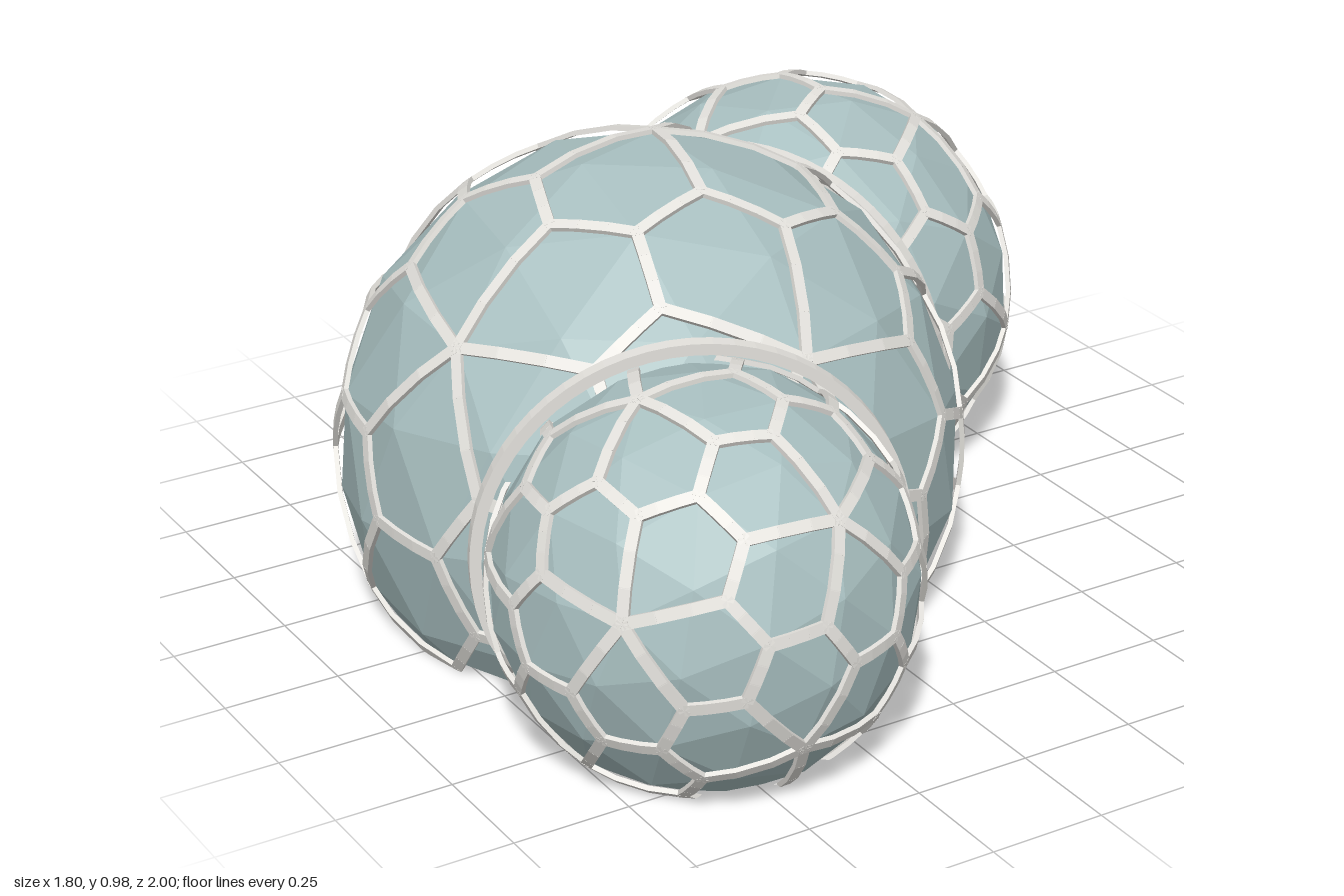
import * as THREE from 'three';
import { mergeGeometries } from 'three/addons/utils/BufferGeometryUtils.js';

const V = (x, y, z) => new THREE.Vector3(x, y, z);
const shellMat = new THREE.MeshStandardMaterial({ color: 0xa8bfc0, flatShading: true, side: THREE.DoubleSide });
const strutMat = new THREE.MeshStandardMaterial({ color: 0xe4e2dd, flatShading: true, side: THREE.DoubleSide });
const ground = new THREE.Plane(V(0, 1, 0), 0);

// Cut a geometry along planes, and drop whole triangles lying behind any of the drop planes
function clip(geometry, planes, drop = []) {
  const pos = (geometry.index ? geometry.toNonIndexed() : geometry).attributes.position;
  const out = [];
  for (let i = 0; i < pos.count; i += 3) {
    let poly = [0, 1, 2].map(k => new THREE.Vector3().fromBufferAttribute(pos, i + k));
    if (drop.some(plane => poly.every(p => plane.distanceToPoint(p) < 0))) continue;
    for (const plane of planes) {
      const next = [];
      poly.forEach((p, k) => {
        const q = poly[(k + 1) % poly.length];
        const dp = plane.distanceToPoint(p), dq = plane.distanceToPoint(q);
        if (dp >= 0) next.push(p);
        if ((dp >= 0) !== (dq >= 0)) next.push(p.clone().lerp(q, dp / (dp - dq)));
      });
      poly = next;
    }
    for (let k = 1; k + 1 < poly.length; k++)
      for (const p of [poly[0], poly[k], poly[k + 1]]) out.push(p.x, p.y, p.z);
  }
  const g = new THREE.BufferGeometry();
  g.setAttribute('position', new THREE.Float32BufferAttribute(out, 3));
  g.computeVertexNormals();
  return g;
}

// Rotation frame: first axis along a, second towards b
function frame(a, b) {
  const x = a.clone().normalize();
  const z = x.clone().cross(b).normalize();
  return new THREE.Matrix4().makeBasis(x, z.clone().cross(x), z);
}

// Flat bar following the sphere between two unit directions
function strut(a, b, r) {
  const steps = 3, bars = [];
  const at = i => a.clone().lerp(b, i / steps).normalize().multiplyScalar(r);
  for (let i = 0; i < steps; i++) {
    const p = at(i), q = at(i + 1);
    const mid = p.clone().add(q).multiplyScalar(0.5);
    bars.push(new THREE.BoxGeometry(p.distanceTo(q) + 0.003, 0.01, 0.024)
      .applyMatrix4(frame(q.clone().sub(p), mid)).translate(mid.x, mid.y, mid.z));
  }
  return mergeGeometries(bars);
}

// Lattice of 60 pentagonal cells, built around the 12 corners of an icosahedron
function lattice(corners, r) {
  const near = (a, b) => a !== b && a.dot(b) > 0.4;
  const reach = THREE.MathUtils.degToRad(27.1), twist = THREE.MathUtils.degToRad(-12.8);
  const joint = (a, b) => {
    const side = b.clone().addScaledVector(a, -a.dot(b)).normalize().applyAxisAngle(a, twist);
    return a.clone().multiplyScalar(Math.cos(reach)).addScaledVector(side, Math.sin(reach));
  };
  const parts = [];
  corners.forEach((a, i) => corners.forEach((b, j) => {
    if (!near(a, b)) return;
    const n = joint(a, b);
    parts.push(strut(a, n, r));
    if (i < j) parts.push(strut(n, joint(b, a), r));
    // the face centre on the side the joint leans towards
    const centres = corners.filter(c => near(a, c) && near(b, c))
      .map(c => c.clone().add(a).add(b).normalize());
    centres.sort((p, q) => q.dot(n) - p.dot(n));
    parts.push(strut(n, centres[0], r));
  }));
  return mergeGeometries(parts);
}

// centre, radius, and two directions that orient the lattice
const domes = [
  { name: 'mainDome', c: V(-0.225, 0.315, -0.065), r: 0.655, a: V(0.12, 0.98, -0.15), b: V(0.9, 0.38, 0.2) },
  { name: 'frontDome', c: V(-0.468, 0.335, 0.568), r: 0.425, a: V(-0.31, 0.95, -0.05), b: V(0.25, 0.5, 0.82) },
  { name: 'backDome', c: V(0.407, 0.348, -0.504), r: 0.487, a: V(-0.53, 0.85, 0.04), b: V(-0.94, 0.01, 0.33) },
];

// Vertical plane where two domes meet, facing the second one
function seam(m, s) {
  const n = s.c.clone().sub(m.c).setY(0);
  const d = n.length();
  n.normalize();
  const along = (d * d + m.r * m.r - s.r * s.r) / (2 * d);
  const point = m.c.clone().addScaledVector(n, along).setY((m.c.y + s.c.y) / 2);
  return { n, point, radius: Math.sqrt(m.r * m.r - along * along),
    plane: new THREE.Plane().setFromNormalAndCoplanarPoint(n, point) };
}

// Flat hoop around the z axis
function hoop(radius) {
  const [inner, outer, half] = [radius + 0.026, radius + 0.05, 0.016];
  const profile = [[inner, -half], [outer, -half], [outer, half], [inner, half], [inner, -half]];
  return new THREE.LatheGeometry(profile.map(p => new THREE.Vector2(...p)), 64).rotateX(Math.PI / 2);
}

export function createModel() {
  const model = new THREE.Group();
  const add = (parent, name, geometry, material) => {
    const mesh = new THREE.Mesh(geometry, material);
    mesh.name = name;
    parent.add(mesh);
  };
  const [main, ...sides] = domes;
  const seams = sides.map(s => seam(main, s));

  // Domes: faceted shell, open where domes join, with struts over it
  const t = (1 + Math.sqrt(5)) / 2;
  const source = frame(V(-1, t, 0), V(1, t, 0)).invert();
  domes.forEach((dome, i) => {
    const cuts = i === 0 ? seams.map(s => s.plane.clone().negate()) : [seams[i - 1].plane];
    const turn = frame(dome.a, dome.b).multiply(source);
    const corners = [];
    for (const u of [-1, 1]) for (const v of [-t, t])
      for (const p of [V(u, v, 0), V(0, u, v), V(v, 0, u)]) corners.push(p.normalize().applyMatrix4(turn));
    const { x, y, z } = dome.c;
    const shell = new THREE.IcosahedronGeometry(dome.r, 2).applyMatrix4(turn).translate(x, y, z);
    const struts = lattice(corners, dome.r + 0.003).translate(x, y, z);
    const group = new THREE.Group();
    group.name = dome.name;
    add(group, dome.name + 'Shell', clip(shell, [ground], cuts), shellMat);
    add(group, dome.name + 'Struts', clip(struts, [ground, ...cuts]), strutMat);
    model.add(group);
  });

  // Arches along the seams
  seams.forEach((s, i) => {
    const arch = hoop(s.radius).rotateY(Math.atan2(s.n.x, s.n.z)).translate(s.point.x, s.point.y, s.point.z);
    add(model, i === 0 ? 'frontArch' : 'backArch', clip(arch, [ground]), strutMat);
  });
  return model;
}
